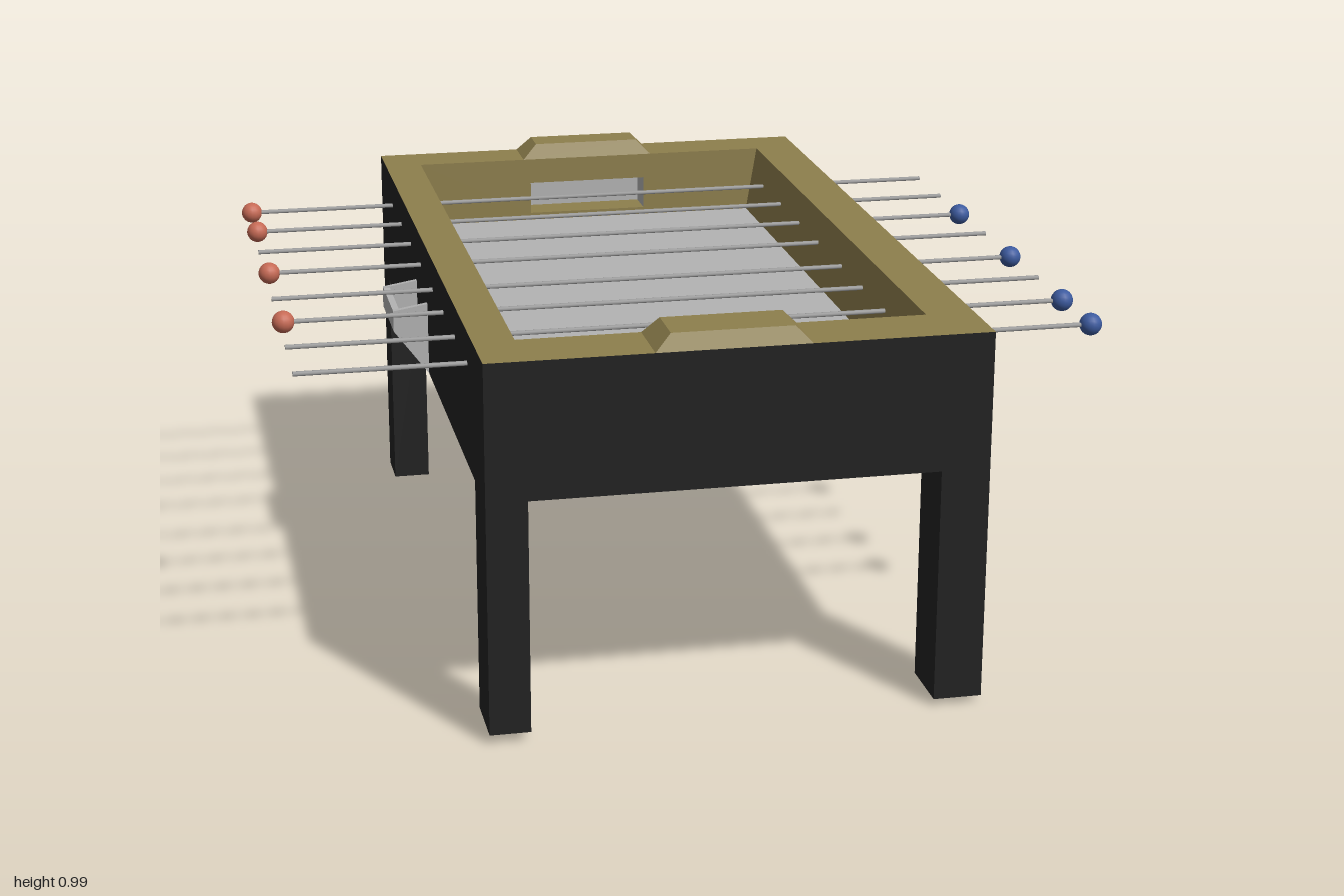
import * as THREE from 'three';

const mat = (name, color) => {
  const m = new THREE.MeshStandardMaterial({ color, side: THREE.DoubleSide });
  m.name = name;
  return m;
};

// Outer cabinet, inner opening and heights
const X0 = -0.575, X1 = 0.64, Z0 = -1, Z1 = 1;
const IX0 = -0.475, IX1 = 0.52, IZ0 = -0.87, IZ1 = 0.835;
const FX0 = -0.45, FX1 = 0.49;
const BASE = 0.61, FLOOR = 0.77, TOP = 0.95;
const GX0 = -0.155, GX1 = 0.18, GY0 = 0.79, GY1 = 0.88, GOAL_DEPTH = 0.09;

// Flat-faced surface from a list of four-cornered faces
function quads(name, material, faces) {
  const pos = [];
  for (const [a, b, c, d] of faces) pos.push(...a, ...b, ...c, ...a, ...c, ...d);
  const g = new THREE.BufferGeometry();
  g.setAttribute('position', new THREE.Float32BufferAttribute(pos, 3));
  g.computeVertexNormals();
  const mesh = new THREE.Mesh(g, material);
  mesh.name = name;
  return mesh;
}

function box(name, material, x0, x1, y0, y1, z0, z1) {
  const mesh = new THREE.Mesh(new THREE.BoxGeometry(x1 - x0, y1 - y0, z1 - z0), material);
  mesh.position.set((x0 + x1) / 2, (y0 + y1) / 2, (z0 + z1) / 2);
  mesh.name = name;
  return mesh;
}

const outline = pts => pts.map(([x, y]) => new THREE.Vector2(x, y));
const rect = (x0, x1, y0, y1) => outline([[x0, y0], [x1, y0], [x1, y1], [x0, y1]]);

// Four corners of a level rectangle, anticlockwise seen from above
const level = (x0, x1, y, z0, z1) => [[x0, y, z1], [x1, y, z1], [x1, y, z0], [x0, y, z0]];

// Side faces joining a lower ring to an upper ring
const skirt = (lo, hi) => lo.map((p, i) => {
  const j = (i + 1) % lo.length;
  return [p, lo[j], hi[j], hi[i]];
});

export function createModel() {
  const model = new THREE.Group();
  model.name = 'tableFootball';
  const black = mat('black', 0x222222);
  const olive = mat('olive', 0x8e7f4d);
  const grey = mat('lightGrey', 0xb3b3b3);
  const steel = mat('steel', 0x9c9c9c);
  const red = mat('red', 0xc66a55);
  const blue = mat('blue', 0x3c5a9e);

  // Cabinet: outer sides and underside
  const lower = level(X0, X1, BASE, Z0, Z1);
  model.add(quads('cabinet', black, [
    ...skirt(lower, level(X0, X1, TOP, Z0, Z1)), [...lower].reverse(),
  ]));

  // Flat rim with the opening cut out
  const rimShape = new THREE.Shape(rect(X0, X1, -Z1, -Z0));
  rimShape.holes.push(new THREE.Path(rect(IX0, IX1, -IZ1, -IZ0)));
  const rim = new THREE.Mesh(new THREE.ShapeGeometry(rimShape).rotateX(-Math.PI / 2), olive);
  rim.position.y = TOP;
  rim.name = 'rim';
  model.add(rim);

  // Playing field and sloping side walls
  model.add(quads('field', grey, [level(FX0, FX1, FLOOR, IZ0, IZ1)]));
  model.add(quads('innerSideWalls', olive, [
    [[FX0, FLOOR, IZ1], [FX0, FLOOR, IZ0], [IX0, TOP, IZ0], [IX0, TOP, IZ1]],
    [[FX1, FLOOR, IZ0], [FX1, FLOOR, IZ1], [IX1, TOP, IZ1], [IX1, TOP, IZ0]],
  ]));

  // End walls, goal recesses and raised blocks above the goals
  for (const [end, z, s] of [['back', IZ0, -1], ['front', IZ1, 1]]) {
    const wallShape = new THREE.Shape(outline([[FX0, FLOOR], [FX1, FLOOR], [IX1, TOP], [IX0, TOP]]));
    wallShape.holes.push(new THREE.Path(rect(GX0, GX1, GY0, GY1)));
    const wallGeo = new THREE.ShapeGeometry(wallShape);
    if (s > 0) { // mirror so the wall faces the field
      wallGeo.rotateY(Math.PI);
      wallGeo.scale(-1, 1, 1);
      const idx = wallGeo.index;
      for (let i = 0; i < idx.count; i += 3) {
        const t = idx.getX(i);
        idx.setX(i, idx.getX(i + 1));
        idx.setX(i + 1, t);
      }
      wallGeo.computeVertexNormals();
    }
    const wall = new THREE.Mesh(wallGeo, olive);
    wall.position.z = z;
    wall.name = end + 'InnerWall';
    model.add(wall);

    const zb = z + s * GOAL_DEPTH;
    const mouth = [[GX0, GY0, z], [GX1, GY0, z], [GX1, GY1, z], [GX0, GY1, z]];
    const rear = mouth.map(([x, y]) => [x, y, zb]);
    const [ground, ...sides] = skirt(mouth, rear);
    const orient = f => (s < 0 ? f : [...f].reverse());
    model.add(quads(end + 'Goal', grey, [...sides, rear].map(orient)));
    model.add(quads(end + 'GoalFloor', olive, [orient(ground)]));

    const za = Math.min(z, s), zc = Math.max(z, s);
    const top = level(-0.135, 0.16, 0.99, za + 0.02, zc - 0.02);
    model.add(quads(end + 'GoalBlock', olive,
      [...skirt(level(-0.175, 0.2, TOP, za, zc), top), top]));
  }

  // Legs, with slightly different foot heights
  for (const [name, x0, x1, y0, z0, z1] of [
    ['frontRightLeg', X0, IX0, 0.025, 0.84, Z1],
    ['frontLeftLeg', IX1, X1, 0.018, 0.84, Z1],
    ['backRightLeg', X0, IX0, 0, Z0, IZ0],
    ['backLeftLeg', IX1, X1, 0.015, Z0, IZ0],
  ]) model.add(box(name, black, x0, x1, y0, BASE, z0, z1));

  // Ball return: open-topped tray with thin walls and a sloping bottom
  const profile = new THREE.Shape(outline([[X0, BASE], [X0, 0.8], [-0.665, 0.785], [-0.665, 0.73]]));
  for (const z of [-0.22, 0]) {
    const g = new THREE.ExtrudeGeometry(profile, { depth: 0.015, bevelEnabled: false });
    const cheek = new THREE.Mesh(g, grey);
    cheek.position.z = z;
    cheek.name = 'ballReturnCheek';
    model.add(cheek);
  }
  model.add(box('ballReturnLip', grey, -0.665, -0.648, 0.73, 0.785, -0.205, 0));
  model.add(quads('ballReturnUnderside', grey, [
    [[-0.665, 0.73, -0.205], [X0, BASE, -0.205], [X0, BASE, 0], [-0.665, 0.73, 0]],
  ]));
  model.add(quads('ballReturnTray', olive, [
    [[-0.648, 0.735, 0], [X0, 0.64, 0], [X0, 0.64, -0.205], [-0.648, 0.735, -0.205]],
  ]));

  // Rods with a round grip at one end: red on the right, blue on the left
  const rodGeo = new THREE.CylinderGeometry(0.009, 0.009, 1.965, 8).rotateZ(Math.PI / 2).scale(1, 0.65, 1);
  const gripGeo = new THREE.SphereGeometry(0.028, 16, 12);
  [[-0.735, red], [-0.528, red], [-0.32, blue], [-0.113, red],
    [0.124, blue], [0.326, red], [0.533, blue], [0.742, blue]].forEach(([z, colour]) => {
    const rod = new THREE.Mesh(rodGeo, steel);
    rod.position.set(-0.002, 0.87, z);
    rod.name = 'rod';
    const grip = new THREE.Mesh(gripGeo, colour);
    grip.position.set(colour === red ? -0.972 : 0.972, 0.87, z);
    grip.name = 'grip';
    model.add(rod, grip);
  });

  return model;
}
